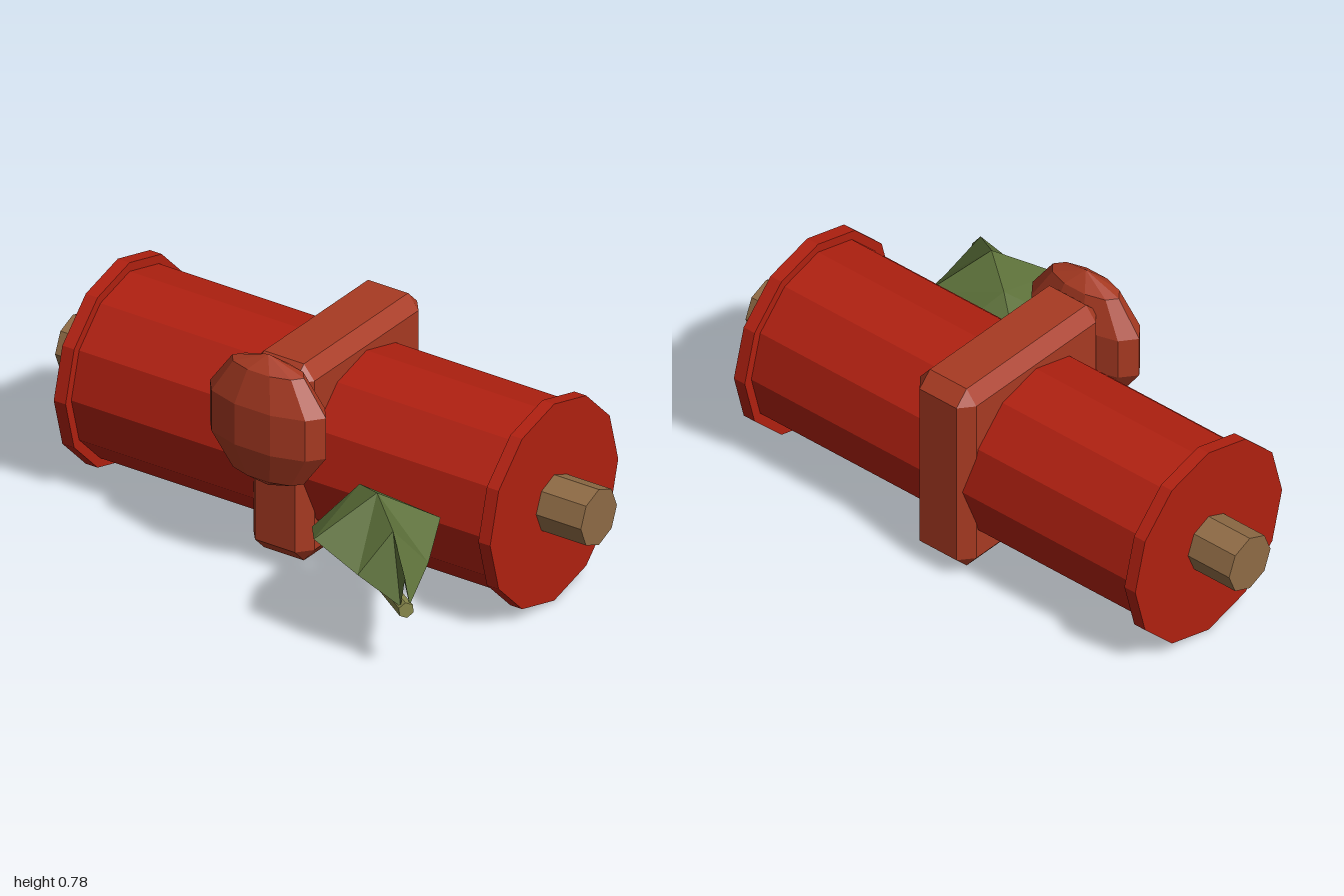
import * as THREE from 'three';
import { ConvexGeometry } from 'three/addons/geometries/ConvexGeometry.js';

const paint = (color, side = THREE.FrontSide) =>
  new THREE.MeshStandardMaterial({ color, flatShading: true, side });

const RED = paint(0xb02010);
const WAX = paint(0xa83a22);
const WOOD = paint(0x8f6b45);
const STEM = paint(0x86864a);
const LEAF = paint(0x5c7039, THREE.DoubleSide);

const AXIS_Y = 0.352, AXIS_Z = -0.176;

export function createModel() {
  const group = new THREE.Group();
  const add = (name, geometry, material) => {
    const mesh = new THREE.Mesh(geometry, material);
    mesh.name = name;
    group.add(mesh);
    return mesh;
  };

  // Cylinder lying along x on the roll's axis
  const roller = (name, radius, x0, x1, sides, material) => {
    const geometry = new THREE.CylinderGeometry(radius, radius, x1 - x0, sides);
    geometry.rotateZ(-Math.PI / 2);
    add(name, geometry, material).position.set((x0 + x1) / 2, AXIS_Y, AXIS_Z);
  };

  // Roll, end rims and rod ends
  roller('roll', 0.317, -0.8, 0.8, 12, RED);
  roller('leftRim', 0.348, 0.785, 0.83, 12, RED);
  roller('rightRim', 0.348, -0.83, -0.785, 12, RED);
  roller('leftRodEnd', 0.098, 0.8, 1, 8, WOOD);
  roller('rightRodEnd', 0.098, -1, -0.8, 8, WOOD);

  // Band: box with every edge chamfered
  const [hx, hy, hz] = [0.116, 0.348, 0.332];
  const [cx, cy, cz] = [0.04, 0.049, 0.049];
  const corners = [];
  for (const x of [-1, 1]) for (const y of [-1, 1]) for (const z of [-1, 1]) {
    corners.push(
      new THREE.Vector3(x * hx, y * (hy - cy), z * (hz - cz)),
      new THREE.Vector3(x * (hx - cx), y * hy, z * (hz - cz)),
      new THREE.Vector3(x * (hx - cx), y * (hy - cy), z * hz));
  }
  add('band', new ConvexGeometry(corners), WAX).position.set(0, 0.386, -0.176);

  // Flattened wax seal
  const seal = add('seal', new THREE.SphereGeometry(0.232, 10, 5), WAX);
  seal.position.set(0, 0.552, 0.193);
  seal.scale.z = 0.41;

  // Stem under the leaf
  const start = new THREE.Vector3(0.24, 0.217, 0.15);
  const end = new THREE.Vector3(0.735, 0.236, 0.492);
  const along = end.clone().sub(start);
  const stem = add('stem', new THREE.CylinderGeometry(0.027, 0.022, along.length(), 6), STEM);
  stem.position.copy(start).add(end).multiplyScalar(0.5);
  stem.quaternion.setFromUnitVectors(new THREE.Vector3(0, 1, 0), along.normalize());

  // Arched leaf folded along its ridge: ridge x, y, z, half width, edge height
  const rows = [
    [0.262, 0.337, 0.165, 0.022, 0.25],
    [0.387, 0.468, 0.248, 0.158, 0.345],
    [0.515, 0.515, 0.336, 0.21, 0.389],
    [0.637, 0.456, 0.424, 0.117, 0.322],
    [0.727, 0.345, 0.487, 0.015, 0.247],
  ];
  const ridge = ([x, y, z]) => [x, y, z];
  const rim = ([x, , z, w, y], s) => [x + s * w * 0.577, y, z - s * w * 0.817];
  const points = [];
  for (let i = 0; i < rows.length - 1; i++) {
    for (const s of [-1, 1]) {
      const a = ridge(rows[i]), b = ridge(rows[i + 1]);
      const c = rim(rows[i + 1], s), d = rim(rows[i], s);
      const quad = s > 0 ? [a, b, c, a, c, d] : [a, c, b, a, d, c];
      points.push(...quad.flat());
    }
  }
  const leaf = new THREE.BufferGeometry();
  leaf.setAttribute('position', new THREE.Float32BufferAttribute(points, 3));
  leaf.computeVertexNormals();
  add('leaf', leaf, LEAF);

  return group;
}
